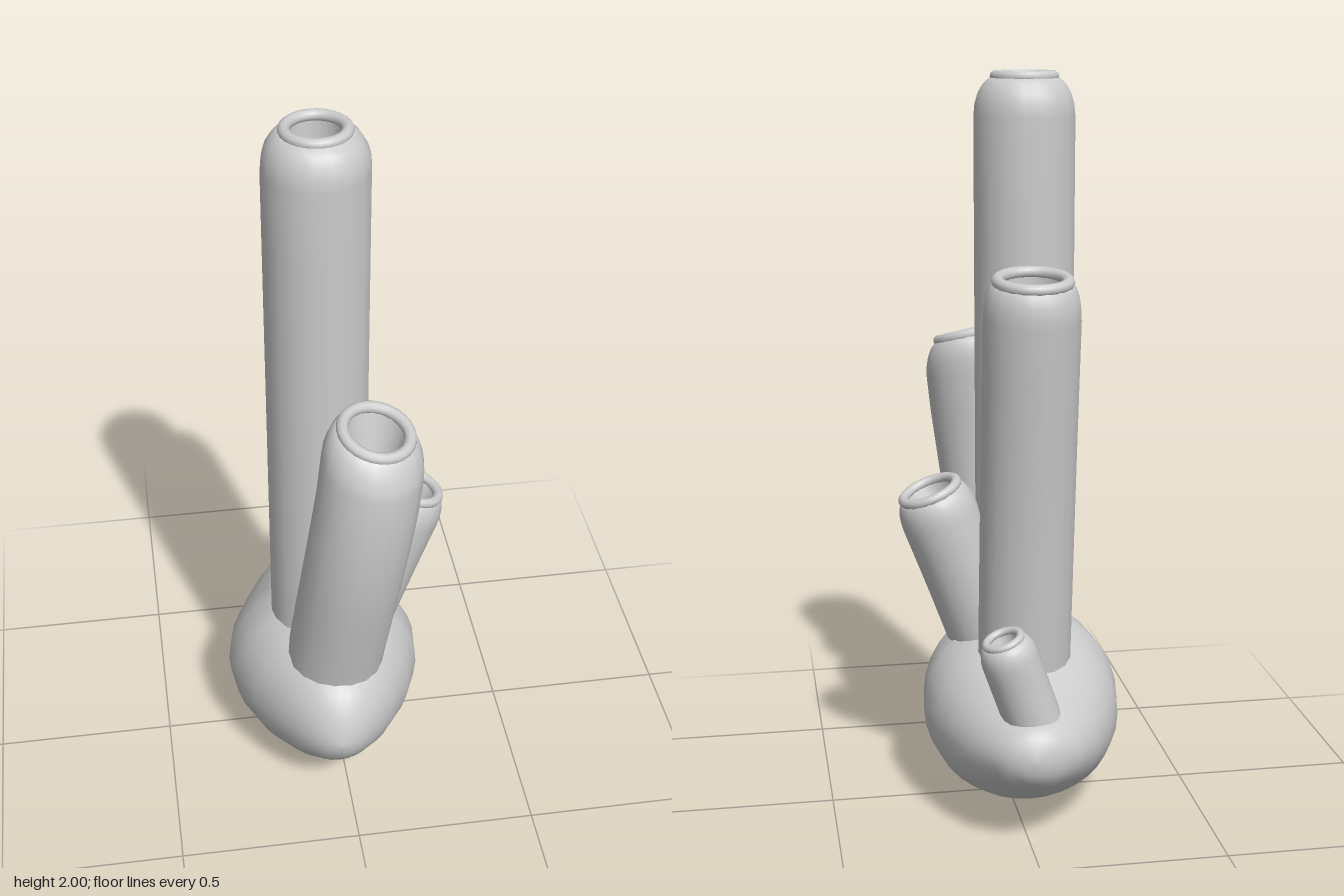
import * as THREE from 'three';

const V = (x, y, z) => new THREE.Vector3(x, y, z);
const material = new THREE.MeshStandardMaterial({ color: 0xcccccc });

// Skin a list of equal closed rings with smooth normals
function loft(rings) {
  const n = rings[0].length, index = [];
  const points = rings.flat();
  for (let i = 0; i < rings.length - 1; i++) {
    for (let j = 0; j < n; j++) {
      const a = i * n + j, b = i * n + (j + 1) % n;
      index.push(a, b, a + n, b, b + n, a + n);
    }
  }
  const g = new THREE.BufferGeometry().setFromPoints(points);
  g.setIndex(index);
  g.computeVertexNormals();
  return g;
}

function addMesh(parent, name, geometry) {
  const m = new THREE.Mesh(geometry, material);
  m.name = name;
  parent.add(m);
  return m;
}

// Rounded lump the tubes grow from: sections along z
function baseGeometry() {
  // z, centre x, half width, bottom y, top y
  const sections = [
    [-0.438, 0, 0, 0.27, 0.27], [-0.436, 0, 0.035, 0.235, 0.305], [-0.42, -0.005, 0.075, 0.205, 0.335],
    [-0.39, -0.012, 0.115, 0.175, 0.352], [-0.3, -0.02, 0.175, 0.115, 0.385], [-0.2, -0.028, 0.222, 0.06, 0.425],
    [-0.1, -0.033, 0.258, 0.02, 0.475], [0, -0.035, 0.275, 0.002, 0.525], [0.1, -0.035, 0.264, 0.012, 0.53],
    [0.2, -0.035, 0.224, 0.05, 0.505], [0.3, -0.035, 0.163, 0.115, 0.47], [0.36, -0.035, 0.11, 0.17, 0.425],
    [0.395, -0.035, 0.06, 0.215, 0.355], [0.408, -0.035, 0.025, 0.25, 0.305], [0.411, -0.035, 0, 0.275, 0.275],
  ];
  return loft(sections.map(([z, cx, w, lo, hi]) => Array.from({ length: 32 }, (_, j) => {
    const a = j / 32 * Math.PI * 2;
    return V(cx + w * Math.cos(a), (lo + hi) / 2 + (hi - lo) / 2 * Math.sin(a), z);
  })));
}

// Hollow tube with a rounded shoulder, rolled lip and tapering bore
function tube({ name, path, r, lip, roll, depth, floor, face }) {
  const group = new THREE.Group();
  group.name = name;
  const curve = new THREE.CatmullRomCurve3(path.map(p => V(...p)));
  const length = curve.getLength();
  const end = face && V(...face).normalize();

  // Local frame at a distance below the mouth
  const frame = d => {
    const u = THREE.MathUtils.clamp(1 - d / length, 0, 1);
    const t = curve.getTangentAt(u);
    if (end) t.lerp(end, THREE.MathUtils.smoothstep(u, 0.75, 0.97)).normalize();
    const n = V(1, 0, 0).addScaledVector(t, -t.x).normalize();
    return { p: curve.getPointAt(u), t, n, b: t.clone().cross(n) };
  };
  const ring = ([d, radius]) => {
    const { p, n, b } = frame(d);
    return Array.from({ length: 18 }, (_, j) => {
      const a = j / 18 * Math.PI * 2;
      return p.clone().addScaledVector(n, radius * Math.cos(a)).addScaledVector(b, radius * Math.sin(a));
    });
  };

  // Outer wall, then the quarter-round shoulder up to the lip
  const shoulder = Math.min(0.1, r * 0.75);
  const outer = [];
  for (let i = 0; i <= 8; i++) outer.push([THREE.MathUtils.lerp(length, shoulder, i / 8), r]);
  for (let i = 1; i <= 5; i++) {
    const a = i / 5 * Math.PI / 2;
    outer.push([shoulder * (1 - Math.sin(a)), lip + (r - lip) * Math.cos(a)]);
  }
  addMesh(group, name + 'Wall', loft(outer.map(ring)));

  // Bore down to a small floor
  const mouth = lip - roll * 0.6;
  const bore = [0, 0.33, 0.67, 1].map(s => [s * depth, THREE.MathUtils.lerp(mouth, floor, s)]);
  addMesh(group, name + 'Bore', loft(bore.map(ring)));
  addMesh(group, name + 'Floor', loft([[depth, floor], [depth, 0]].map(ring)));

  // Rolled rim
  const top = frame(0);
  const rim = addMesh(group, name + 'Lip', new THREE.TorusGeometry(lip, roll, 10, 28));
  rim.position.copy(top.p);
  rim.quaternion.setFromUnitVectors(V(0, 0, 1), top.t);
  return group;
}

export function createModel() {
  const model = new THREE.Group();
  model.name = 'tubeSponge';
  addMesh(model, 'base', baseGeometry());

  const tubes = [
    { name: 'tallTube', path: [[-0.05, 0.3, 0.048], [-0.05, 1.1, 0.048], [-0.05, 1.985, 0.048]],
      r: 0.135, lip: 0.076, roll: 0.015, depth: 0.3, floor: 0.045 },
    { name: 'backTube', path: [[-0.03, 0.3, -0.065], [-0.03, 0.9, -0.128], [-0.03, 1.485, -0.198]],
      r: 0.128, lip: 0.091, roll: 0.016, depth: 0.42, floor: 0.015 },
    { name: 'frontTube', path: [[-0.035, 0.3, 0.17], [-0.02, 0.5, 0.215], [0.015, 0.85, 0.288], [0.045, 1.08, 0.302], [0.065, 1.265, 0.288]],
      r: 0.134, lip: 0.088, roll: 0.016, depth: 0.3, floor: 0.012, face: [0.2, 1, 0.2] },
    { name: 'sideTube', path: [[0.015, 0.35, 0.065], [0.105, 0.6, 0.052], [0.212, 0.88, 0.038]],
      r: 0.108, lip: 0.077, roll: 0.014, depth: 0.12, floor: 0.03 },
    { name: 'smallTube', path: [[-0.035, 0.28, -0.308], [0.015, 0.42, -0.313], [0.068, 0.572, -0.324]],
      r: 0.076, lip: 0.047, roll: 0.011, depth: 0.08, floor: 0.022 },
  ];
  for (const t of tubes) model.add(tube(t));
  return model;
}
